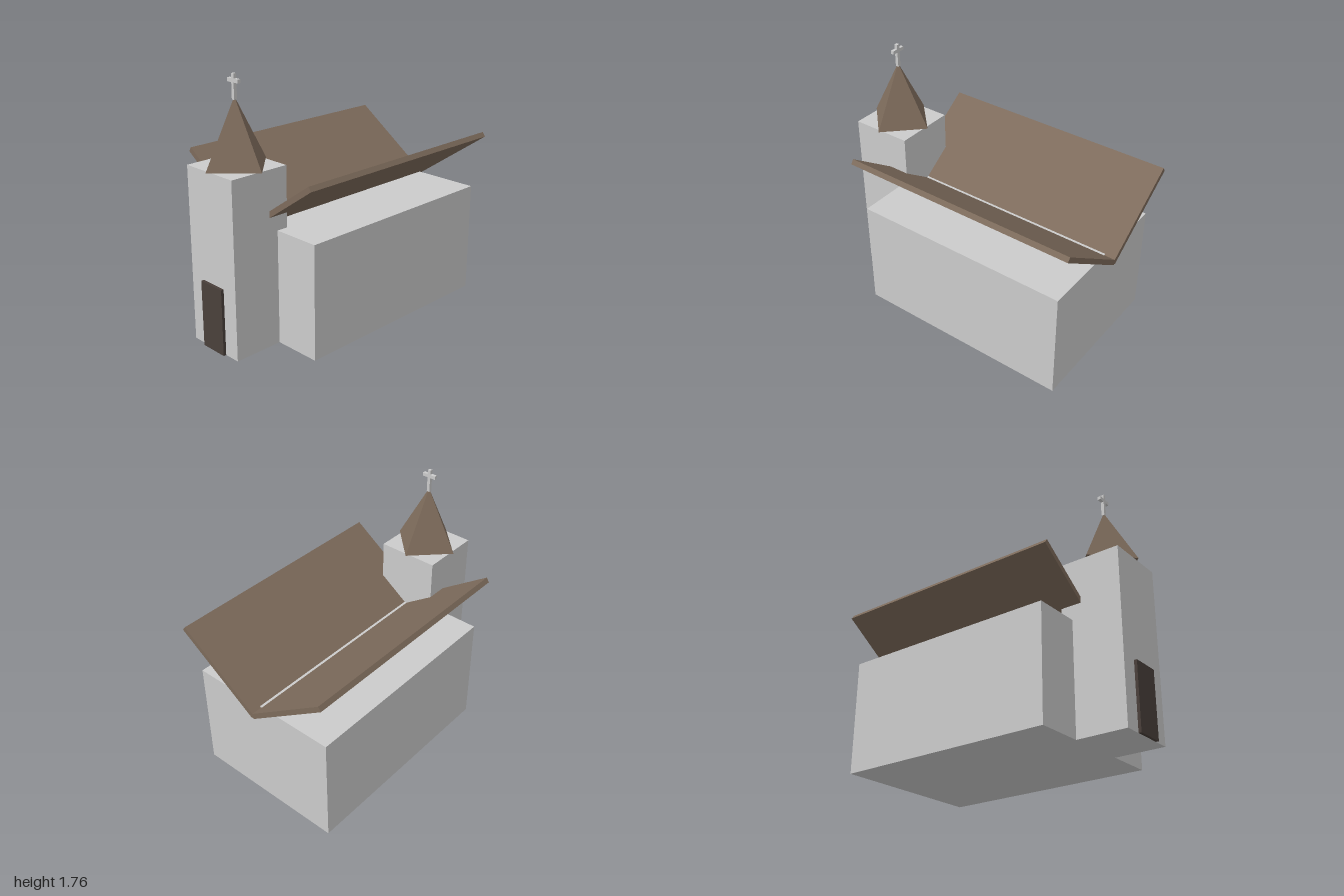
import * as THREE from 'three';

const wall = new THREE.MeshStandardMaterial({ color: 0xcccccc, flatShading: true });
const wood = new THREE.MeshStandardMaterial({ color: 0x7d6b5b, flatShading: true });
const dark = new THREE.MeshStandardMaterial({ color: 0x4a403b, flatShading: true });

export function createModel() {
  const model = new THREE.Group();
  model.name = 'chapel';

  const add = (name, geometry, material, x, y, z, parent = model) => {
    const mesh = new THREE.Mesh(geometry, material);
    mesh.name = name;
    mesh.position.set(x, y, z);
    parent.add(mesh);
    return mesh;
  };
  const box = (name, material, w, h, d, x, y, z, parent) =>
    add(name, new THREE.BoxGeometry(w, h, d), material, x, y, z, parent);

  // Main hall, bell tower and door
  box('nave', wall, 1.09, 0.78, 1.55, 0, 0.39, -0.15);
  box('tower', wall, 0.43, 1.19, 0.43, 0, 0.595, 0.76);
  box('door', dark, 0.2, 0.455, 0.03, 0, 0.2275, 0.98);

  // Two roof panels rising outwards from a central valley
  const pitch = THREE.MathUtils.degToRad(35);
  for (const side of [1, -1]) {
    const panel = box(side > 0 ? 'leftRoofPanel' : 'rightRoofPanel', wood,
      0.706, 0.036, 1.69, side * 0.286, 0.952, -0.155);
    panel.rotation.z = side * pitch;
  }

  // Four-sided spire with its corners facing forwards and sideways
  add('spire', new THREE.ConeGeometry(0.238, 0.43, 4), wood, 0, 1.405, 0.76);

  // Cross on the spire
  const cross = new THREE.Group();
  cross.name = 'cross';
  cross.position.z = 0.76;
  model.add(cross);
  box('crossPost', wall, 0.022, 0.16, 0.022, 0, 1.68, 0, cross);
  box('crossArm', wall, 0.1, 0.024, 0.022, 0, 1.717, 0, cross);

  return model;
}
